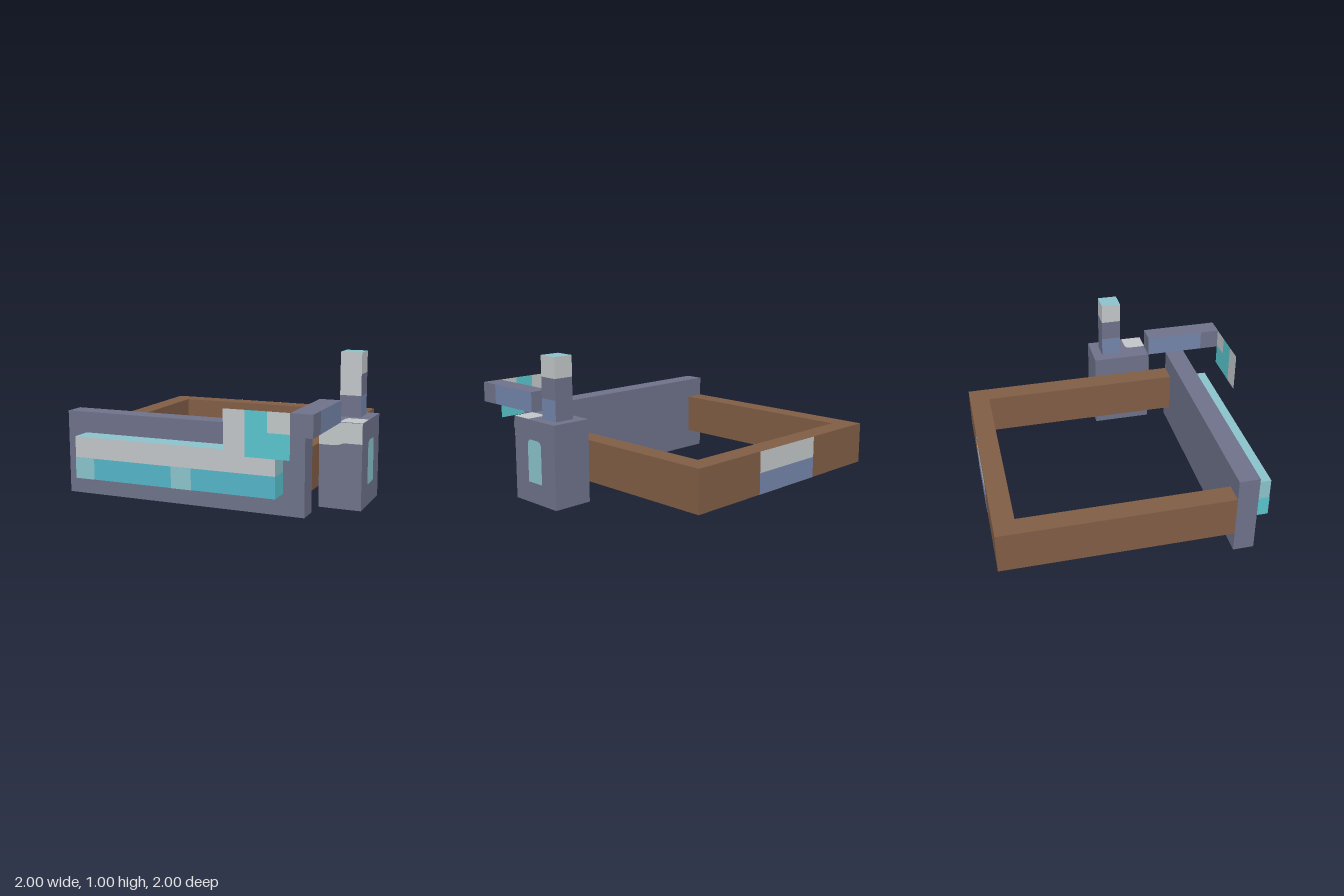
import * as THREE from 'three';

const paint = (name, color) => {
  const m = new THREE.MeshStandardMaterial({ color, side: THREE.DoubleSide });
  m.name = name;
  return m;
};

export function createModel() {
  const slate = paint('slate', 0x6e7289);
  const brown = paint('brown', 0x805d45);
  const grey = paint('light grey', 0xc1c6c8);
  const paleTeal = paint('pale teal', 0x8bc3cb);
  const teal = paint('teal', 0x58c4cc);
  const deepTeal = paint('deep teal', 0x54b4c8);
  const blue = paint('steel blue', 0x7485ab);

  const U = 1 / 7; // grid unit of the blocks
  const model = new THREE.Group();
  model.name = 'model';

  const add = (parent, name, geometry, material) => {
    const mesh = new THREE.Mesh(geometry, material);
    mesh.name = name;
    parent.add(mesh);
    return mesh;
  };
  const group = (name) => {
    const g = new THREE.Group();
    g.name = name;
    model.add(g);
    return g;
  };
  // Box from min and max corners; an array of materials runs +x -x +y -y +z -z
  const block = (parent, name, [x0, y0, z0], [x1, y1, z1], material) =>
    add(parent, name, new THREE.BoxGeometry(x1 - x0, y1 - y0, z1 - z0)
      .translate((x0 + x1) / 2, (y0 + y1) / 2, (z0 + z1) / 2), material);
  // Flat rectangle in its own xy plane with top-left and top-right corner radii
  const panel = (w, h, rl = 0, rr = 0) => {
    const s = new THREE.Shape();
    s.moveTo(0, 0);
    s.lineTo(w, 0);
    s.lineTo(w, h - rr);
    if (rr) s.quadraticCurveTo(w, h, w - rr, h);
    s.lineTo(rl, h);
    if (rl) s.quadraticCurveTo(0, h, 0, h - rl);
    s.closePath();
    return new THREE.ShapeGeometry(s, 5);
  };

  // Three-sided timber frame behind the front wall
  const u = new THREE.Shape([
    [-1, -4 * U], [-1, 1], [5 * U, 1], [5 * U, -4 * U],
    [4 * U, -4 * U], [4 * U, 6 * U], [-6 * U, 6 * U], [-6 * U, -4 * U],
  ].map(([x, y]) => new THREE.Vector2(x, y)));
  const frame = group('rearFrame');
  add(frame, 'frameRail', new THREE.ExtrudeGeometry(u, { depth: 2 * U, bevelEnabled: false })
    .rotateX(-Math.PI / 2).translate(0, U, 0), brown);
  [['backPanelLower', U, blue], ['backPanelUpper', 2 * U, grey]].forEach(([name, y, mat]) =>
    add(frame, name, panel(4 * U, U).rotateY(Math.PI).translate(U, y, -1.002), mat));

  // Front wall
  block(model, 'frontWall', [-1, 0, 4 * U], [5 * U, 4 * U, 5 * U], slate);

  // Display ledge: pale upper half, teal lower half
  const ledge = group('ledge');
  block(ledge, 'ledgeUpper', [-6 * U, 2 * U, 5 * U], [4 * U, 3 * U, 6 * U],
    [paleTeal, paleTeal, paleTeal, teal, grey, paleTeal]);
  block(ledge, 'ledgeLower', [-6 * U, U, 5 * U], [4 * U, 2 * U, 6 * U],
    [teal, teal, teal, teal, deepTeal, teal]);
  [-6 * U, -U].forEach((x) =>
    add(ledge, 'ledgePatch', panel(U, U).translate(x, U, 6 * U + 0.003), paleTeal));

  // Side pillar with a window and a pale corner
  const pillar = group('pillar');
  block(pillar, 'pillarBody', [5 * U, 0, 0], [1, 4 * U, 3 * U], slate);
  add(pillar, 'pillarWindow', panel(U, 0.295, 0.04, 0.04)
    .rotateY(Math.PI / 2).translate(1.002, U, 2 * U), paleTeal);
  add(pillar, 'pillarTopPatch', panel(0.15, 0.152, 0.04)
    .rotateX(-Math.PI / 2).translate(0.85, 4 * U + 0.003, 3 * U), grey);
  const band = new THREE.Shape([
    [5 * U, 0.42], [0.82, 0.42], [0.85, 0.426], [0.88, 0.437], [1, 0.437], [1, 4 * U], [5 * U, 4 * U],
  ].map(([x, y]) => new THREE.Vector2(x, y)));
  add(pillar, 'pillarFrontBand', new THREE.ShapeGeometry(band).translate(0, 0, 3 * U + 0.003), grey);

  // Chimney post in three bands
  const post = group('post');
  [
    [slate, blue, slate],
    [slate, slate, grey],
    [grey, grey, grey],
  ].forEach(([back, side, front], i) =>
    block(post, 'postBand', [5.5 * U, (4 + i) * U, U / 2], [6.5 * U, (5 + i) * U, 1.5 * U],
      [side, side, i === 2 ? paleTeal : slate, slate, front, back]));

  // Arm reaching forward
  const arm = group('arm');
  block(arm, 'armBeam', [5 * U, 4 * U, 3 * U], [6 * U, 5 * U, 6 * U],
    [blue, blue, slate, slate, slate, slate]);
  block(arm, 'armTip', [5 * U, 4 * U, 6 * U], [6 * U, 5 * U, 1], slate);

  // Thin hanging flag at the arm tip
  const flag = group('flag');
  const z = 0.998;
  add(flag, 'flagEdge', panel(U, 2 * U).translate(2 * U, 3 * U, z), grey);
  add(flag, 'flagCentre', panel(U, 2 * U).translate(3 * U, 3 * U, z), teal);
  add(flag, 'flagFoot', panel(U, U + 0.013).translate(4 * U, 3 * U, z), teal);
  const corner = new THREE.Shape();
  corner.moveTo(4 * U, 5 * U);
  corner.lineTo(4 * U, 4 * U + 0.013);
  corner.lineTo(5 * U, 4 * U + 0.013);
  corner.lineTo(5 * U, 5 * U);
  corner.closePath();
  add(flag, 'flagCorner', new THREE.ShapeGeometry(corner).translate(0, 0, z), grey);

  return model;
}
